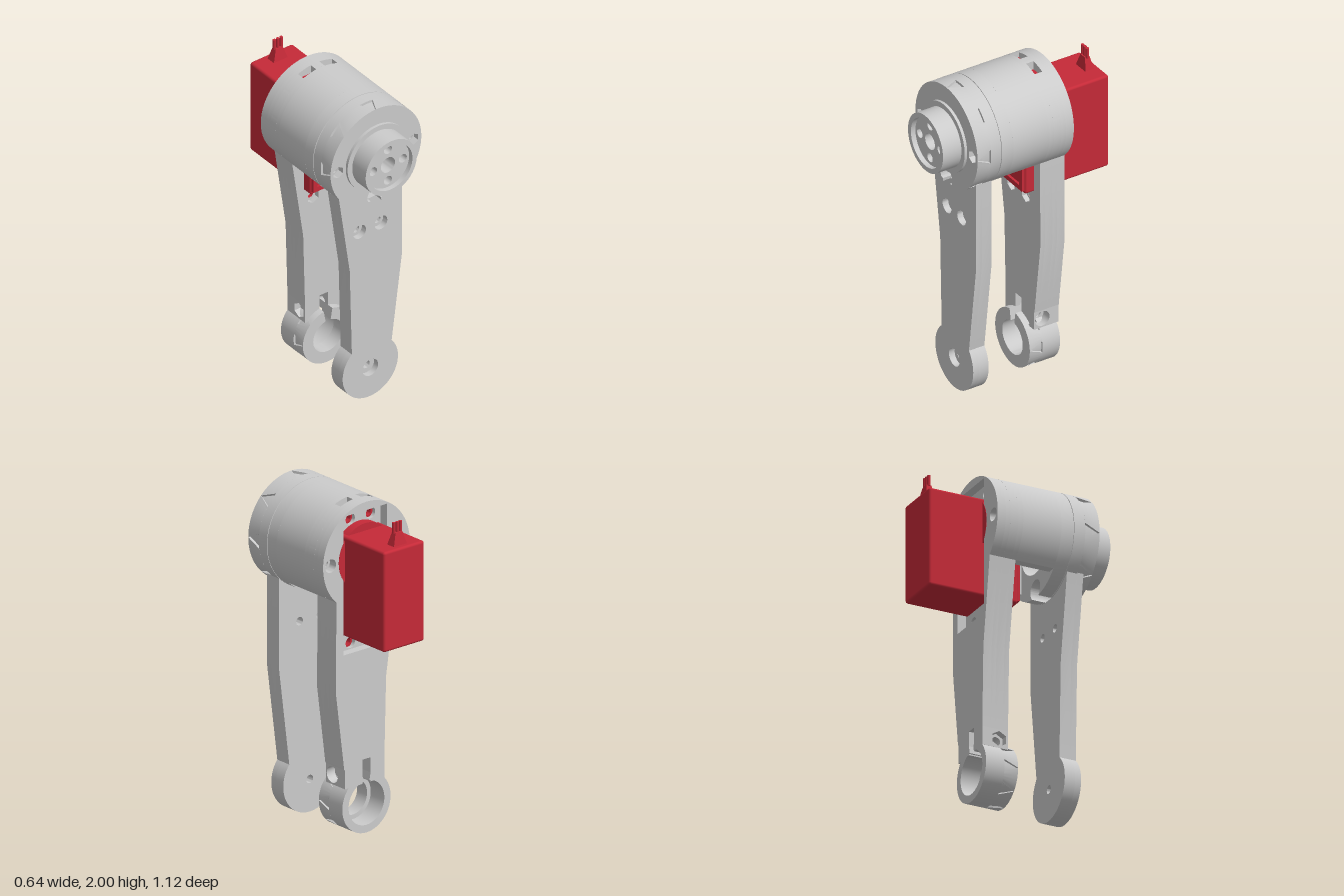
import * as THREE from 'three';
import { toCreasedNormals } from 'three/addons/utils/BufferGeometryUtils.js';
import { RoundedBoxGeometry } from 'three/addons/geometries/RoundedBoxGeometry.js';

const PI = Math.PI;
const CY = 1.68;   // drum axis height
const FY = 0.195;  // lower pivot height

export function createModel() {
  const model = new THREE.Group();
  const grey = new THREE.MeshStandardMaterial({ color: 0xcccccc });
  const red = new THREE.MeshStandardMaterial({ color: 0xc62a38 });

  const add = (name, geo, mat = grey) => {
    const mesh = new THREE.Mesh(geo, mat);
    mesh.name = name;
    model.add(mesh);
    return mesh;
  };
  // Slab of a shape between two depths
  const slab = (shape, z0, z1) => {
    const g = new THREE.ExtrudeGeometry(shape, { depth: z1 - z0, bevelEnabled: false, curveSegments: 32 });
    g.translate(0, 0, z0);
    return toCreasedNormals(g, 0.5);
  };
  const hole = (shape, x, y, r, sides = 28) => {
    const pts = [];
    for (let i = 0; i < sides; i++) {
      const a = PI / 2 - (i / sides) * 2 * PI;
      pts.push(new THREE.Vector2(x + r * Math.cos(a), y + r * Math.sin(a)));
    }
    shape.holes.push(new THREE.Path(pts));
    return shape;
  };
  const pair = (shape, x, y, r, sides) => hole(hole(shape, x, y, r, sides), -x, y, r, sides);
  const rect = (x0, x1, y0, y1, Type = THREE.Shape) =>
    new Type([[x0, y0], [x1, y0], [x1, y1], [x0, y1]].map(p => new THREE.Vector2(...p)));
  const disc = (x, y, r) => new THREE.Shape().absarc(x, y, r, 0, 2 * PI, false);

  // Rim segments that leave triangular index marks between them;
  // mark number "cut" is a plain gap of half-angle "gap"
  const markedRim = (name, r0, r1, cy, z0, z1, half, cut, gap) => {
    for (let i = 0; i < 8; i++) {
      const g = new THREE.BoxGeometry(1, 1, 1, 10, 1, 1);
      const p = g.attributes.position;
      for (let k = 0; k < p.count; k++) {
        const t = p.getZ(k) + 0.5;
        const w = n => (n % 8 === cut ? gap : half * (1 - t));
        const a0 = i * PI / 4 + w(i), a1 = (i + 1) * PI / 4 - w(i + 1);
        const a = a1 + (a0 - a1) * (p.getX(k) + 0.5);
        const r = p.getY(k) < 0 ? r0 : r1;
        p.setXYZ(k, r * Math.cos(a), cy + r * Math.sin(a), z0 + (z1 - z0) * t);
      }
      add(name, toCreasedNormals(g, 0.5));
    }
  };

  // ---- Drum front: hollow disc with a cable notch at the bottom ----
  const notchedDisc = R => {
    const d = 0.27, r = 0.06;
    const a = (R * R + d * d - r * r) / (2 * d), alpha = Math.acos(Math.min(1, a / R));
    const b = Math.atan2(a - d, R * Math.sin(alpha));
    const s = new THREE.Shape();
    s.absarc(0, CY, R, -PI / 2 + alpha, 1.5 * PI - alpha, false);
    s.absarc(0, CY - d, r, PI + b, -b, true);
    return hole(s, 0, CY, 0.17, 48);
  };
  const drumSlices = [
    [0.18, 0.257, 0.32, 0.025, 28], [0.257, 0.261, 0.315, 0.025, 28], [0.261, 0.33, 0.32, 0.025, 28],
    [0.33, 0.38, 0.305, 0.025, 28], [0.38, 0.42, 0.305, 0.038, 6],
  ];
  for (const [z0, z1, R, r, n] of drumSlices) add('drumFront', slab(pair(notchedDisc(R), 0.265, CY, r, n), z0, z1));
  markedRim('drumRim', 0.3, 0.32, CY, 0.33, 0.42, 0.14, 6, 0.118);

  // ---- Drum middle: shell open underneath ----
  const shell = new THREE.Shape();
  shell.absarc(0, CY, 0.32, -0.802, PI + 0.802, false);
  shell.lineTo(-0.17, 1.45);
  shell.lineTo(-0.17, CY + 0.123);
  shell.absarc(0, CY, 0.21, PI - 0.627, 0.627, true);
  shell.lineTo(0.17, 1.45);
  add('drumShell', slab(pair(shell, 0.265, CY, 0.025), -0.06, 0.18));

  // ---- Output hub ----
  add('hubFlange', slab(hole(disc(0, CY, 0.213), 0, CY, 0.16, 48), 0.4, 0.437));
  add('hubRing', slab(hole(disc(0, CY, 0.18), 0, CY, 0.15, 48), 0.4, 0.56));
  const face = hole(disc(0, CY, 0.155), 0, CY, 0.05);
  for (let i = 0; i < 4; i++) hole(face, 0.105 * Math.cos(i * PI / 2), CY + 0.105 * Math.sin(i * PI / 2), 0.028);
  add('hubFace', slab(face, 0.42, 0.53));

  // ---- Front leg ----
  const frontLeg = (bolt, pivot) => {
    const s = new THREE.Shape();
    s.absarc(0, FY, 0.195, 2.30, 0.69 + 2 * PI, false);
    s.lineTo(0.225, 0.9);
    s.lineTo(0.225, 1.455);
    s.absarc(0, CY, 0.316, -0.79, -PI + 0.79, true);
    s.lineTo(-0.145, 0.92);
    return hole(pair(s, 0.075, 1.16, bolt), 0, FY, pivot);
  };
  add('frontLeg', slab(frontLeg(0.025, 0.025), 0.265, 0.33));
  add('frontLeg', slab(frontLeg(0.045, 0.055), 0.33, 0.368));

  // ---- Rear leg with the drum's back plate, in slices ----
  const rearLeg = slots => {
    const s = new THREE.Shape();
    s.moveTo(-0.132, 0.43);
    for (const p of [[-0.03, 0.43], [-0.03, 0.46], [0.03, 0.46], [0.03, 0.43], [0.164, 0.43], [0.225, 0.9], [0.222, 1.45]]) s.lineTo(...p);
    let a = -0.802;
    if (slots) {
      for (const [x0, x1] of [[0.12, 0.03], [-0.03, -0.12]]) {
        s.absarc(0, CY, 0.32, a, Math.acos(x0 / 0.32), false);
        s.lineTo(x0, 1.94);
        s.lineTo(x1, 1.94);
        a = Math.acos(x1 / 0.32);
      }
    }
    s.absarc(0, CY, 0.32, a, PI + 0.802, false);
    s.lineTo(-0.145, 0.92);
    return s;
  };
  const pocketed = pair(rearLeg(false), 0.265, CY, 0.04);
  pocketed.holes.push(rect(-0.15, 0.17, 1.12, 1.95, THREE.Path));
  add('rearLeg', slab(pocketed, -0.222, -0.17));
  const drilled = (slots, r, n) => pair(pair(pair(rearLeg(slots), 0.265, CY, 0.025), 0.075, 1.16, r, n), 0.075, 1.9, r, n);
  add('rearLeg', slab(drilled(false, 0.034), -0.17, -0.14));
  add('rearLeg', slab(drilled(true, 0.024), -0.14, -0.09));
  add('rearLeg', slab(drilled(false, 0.042, 6), -0.09, -0.06));

  // Clamp blocks on both sides of the slot, with a cross bolt hole
  for (const [x0, x1, r, n] of [[-0.132, -0.09, 0.048, 6], [-0.09, -0.03, 0.027, 28], [0.03, 0.1, 0.027, 28], [0.1, 0.16, 0.048, 28]]) {
    const s = hole(rect(0.06, 0.222, 0.315, 0.432), 0.115, 0.372, r, n);
    add('clampBlock', slab(s, x0, x1).rotateY(PI / 2));
  }

  // Split clamp ring
  const splitRing = (R, r) => {
    const s = new THREE.Shape();
    s.absarc(0, FY, R, PI / 2 + 0.17, 2.5 * PI - 0.17, false);
    s.absarc(0, FY, r, 2.5 * PI - 0.17, PI / 2 + 0.17, true);
    return s;
  };
  add('clampRing', slab(splitRing(0.178, 0.132), -0.222, -0.105));
  add('clampRing', slab(splitRing(0.166, 0.105), -0.105, -0.02));
  markedRim('clampRim', 0.163, 0.178, FY, -0.105, -0.02, 0.21, 2, 0.17);

  // ---- Servo ----
  const body = new RoundedBoxGeometry(0.3, 0.6, 0.56, 2, 0.015);
  body.translate(0.01, 1.53, -0.28);
  add('servoBody', body, red);
  const rim = rect(-0.13, 0.15, 1.25, 1.82);
  rim.holes.push(rect(-0.1, 0.12, 1.28, 1.79, THREE.Path));
  add('servoFrontRim', slab(rim, -0.01, 0.015), red);
  add('servoCollar', slab(disc(0.01, CY, 0.195), -0.224, -0.15), red);
  const flange = pair(pair(rect(-0.14, 0.16, 1.125, 1.945), 0.075, 1.16, 0.022), 0.075, 1.9, 0.022);
  add('servoFlange', slab(flange, -0.146, -0.092), red);

  // Cable plug: tapered base and three pins
  const plug = new THREE.CylinderGeometry(0.035, 0.0707, 0.08, 4, 1).rotateY(PI / 4).scale(1, 1, 0.6);
  plug.translate(0.01, 1.865, -0.497);
  add('cablePlug', toCreasedNormals(plug, 0.3), red);
  for (const dx of [-0.024, 0, 0.024]) {
    const pin = new THREE.CylinderGeometry(0.01, 0.01, 0.065, 12);
    pin.translate(0.01 + dx, 1.932, -0.497);
    add('plugWire', pin, red);
  }
  return model;
}
